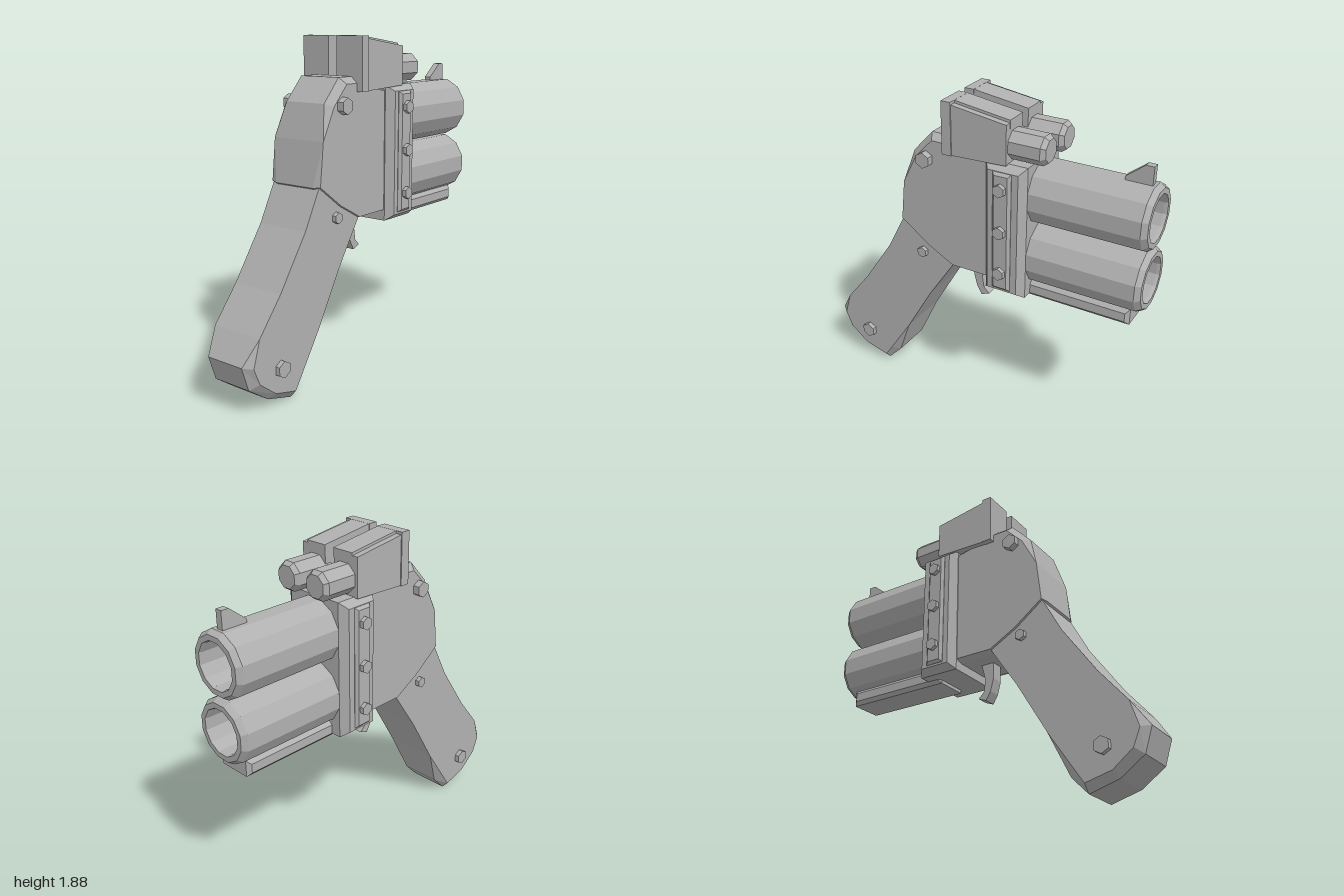
import * as THREE from 'three';

const metal = new THREE.MeshStandardMaterial({ color: 0xb0b0b0, flatShading: true });
metal.name = 'grey metal';

// Symmetric slab: points [x, y] or [x, y, faceX, faceY] run counter-clockwise.
// Points with a face position are chamfered back to the half depth edgeZ.
function slabGeometry(points, halfZ, edgeZ = halfZ) {
  const pos = [];
  const face = points.map(p => new THREE.Vector2(p[2] ?? p[0], p[3] ?? p[1]));
  const ez = p => (p.length > 2 ? edgeZ : halfZ);
  const rings = [
    face.map(f => [f.x, f.y, -halfZ]),
    points.map(p => [p[0], p[1], -ez(p)]),
    points.map(p => [p[0], p[1], ez(p)]),
    face.map(f => [f.x, f.y, halfZ]),
  ];
  for (let r = 0; r < 3; r++) {
    for (let i = 0; i < points.length; i++) {
      const j = (i + 1) % points.length;
      const a = rings[r][i], b = rings[r][j], c = rings[r + 1][j], d = rings[r + 1][i];
      pos.push(...a, ...b, ...c, ...a, ...c, ...d);
    }
  }
  for (const [a, b, c] of THREE.ShapeUtils.triangulateShape(face, [])) {
    pos.push(...rings[3][a], ...rings[3][b], ...rings[3][c]);
    pos.push(...rings[0][a], ...rings[0][c], ...rings[0][b]);
  }
  const g = new THREE.BufferGeometry();
  g.setAttribute('position', new THREE.Float32BufferAttribute(pos, 3));
  g.computeVertexNormals();
  return g;
}

// Rectangular outline with its chamfered face inset by c
const rect = (x0, y0, x1, y1, c) => [
  [x0, y0, x0 + c, y0 + c], [x1, y0, x1 - c, y0 + c],
  [x1, y1, x1 - c, y1 - c], [x0, y1, x0 + c, y1 - c],
];

// Faceted turned part along +x, profile given as [radius, x]
function turned(profile, sides) {
  const pts = profile.map(p => new THREE.Vector2(...p));
  return new THREE.LatheGeometry(pts, sides, Math.PI / sides).rotateZ(-Math.PI / 2);
}

export function createModel() {
  const model = new THREE.Group();
  model.name = 'doubleBarrelPistol';
  const add = (name, geometry, x = 0, y = 0, z = 0) => {
    const m = new THREE.Mesh(geometry, metal);
    m.name = name;
    m.position.set(x, y, z);
    model.add(m);
    return m;
  };

  // Raked grip, chamfered around the butt
  add('grip', slabGeometry([
    [-1, 0.28, -0.955, 0.27], [-0.955, 0.145, -0.915, 0.175], [-0.82, 0.05, -0.8, 0.085],
    [-0.65, 0.0, -0.65, 0.045], [-0.56, 0.095, -0.6, 0.12], [-0.455, 0.34],
    [-0.28, 0.64], [-0.12, 0.88], [-0.1, 1.05], [-0.43, 1.14],
    [-0.56, 0.89], [-0.755, 0.605], [-0.91, 0.415],
  ], 0.16, 0.12));

  // Receiver body, chamfered along the rear hump and underside
  add('body', slabGeometry([
    [-0.465, 1.1, -0.45, 1.105], [-0.285, 0.965, -0.28, 0.98], [-0.12, 0.875, -0.115, 0.89],
    [0.13, 0.875, 0.13, 0.89], [0.13, 1.57], [-0.1, 1.6],
    [-0.14, 1.66, -0.14, 1.625], [-0.25, 1.66, -0.23, 1.625],
    [-0.37, 1.53, -0.335, 1.515], [-0.425, 1.34],
  ], 0.17, 0.13));

  // Barrel clamp with a raised strip on each side
  add('clampFrame', slabGeometry(rect(0.11, 0.825, 0.355, 1.6, 0.033), 0.22, 0.175));
  add('clampStrips', slabGeometry(rect(0.175, 0.87, 0.285, 1.565, 0.015), 0.238, 0.222));

  // Stacked hollow barrels
  const barrel = turned([
    [0, 0.3], [0.181, 0.3], [0.181, 0.97], [0.16, 1.0], [0.13, 1.0], [0.125, 0.98], [0.125, 0.4], [0, 0.4],
  ], 12);
  add('upperBarrel', barrel, 0, 1.41);
  add('lowerBarrel', barrel, 0, 1.05);

  // Rail under the lower barrel
  add('underRail', slabGeometry(rect(0.27, 0.805, 0.935, 0.9, 0.022), 0.115, 0.095));

  add('trigger', slabGeometry([
    [-0.05, 0.9], [-0.05, 0.78], [-0.03, 0.705], [0, 0.655],
    [0.05, 0.675], [0.015, 0.71], [0.005, 0.78], [0.035, 0.9],
  ], 0.037));

  add('frontSight', slabGeometry([
    [0.81, 1.57], [0.955, 1.57], [0.955, 1.685], [0.91, 1.685], [0.81, 1.605],
  ], 0.02));

  // Twin sight housings, each with a raised rear collar, top rib and tube
  const housing = slabGeometry([
    [-0.14, 1.58], [0.24, 1.595], [0.24, 1.815], [-0.085, 1.86], [-0.14, 1.86],
  ], 0.084);
  const collar = slabGeometry([
    [-0.142, 1.58], [-0.085, 1.58], [-0.085, 1.875], [-0.142, 1.875],
  ], 0.089);
  const rib = slabGeometry([
    [-0.09, 1.8], [0.242, 1.78], [0.242, 1.83], [-0.09, 1.875],
  ], 0.066);
  const tube = turned([[0, 0.2], [0.084, 0.2], [0.084, 0.42], [0.065, 0.445], [0, 0.445]], 8);
  // Hex bolts: x, y, outer z, radius
  const bolts = [
    [0.23, 0.98, 0.262, 0.036], [0.23, 1.23, 0.262, 0.036], [0.23, 1.475, 0.262, 0.036],
    [-0.27, 1.515, 0.21, 0.046], [-0.315, 0.92, 0.185, 0.032], [-0.76, 0.21, 0.187, 0.046],
  ];
  for (const [side, s] of [['left', 1], ['right', -1]]) {
    add(side + 'SightHousing', housing, 0, 0, s * 0.116);
    add(side + 'SightCollar', collar, 0, 0, s * 0.117);
    add(side + 'SightRib', rib, 0, 0, s * 0.097);
    add(side + 'SightTube', tube, 0, 1.69, s * 0.105);
    for (const [x, y, z, r] of bolts) {
      const bolt = new THREE.CylinderGeometry(r, r, 0.06, 6).rotateX(Math.PI / 2);
      add(side + 'Bolt', bolt, x, y, s * (z - 0.03));
    }
  }
  return model;
}
